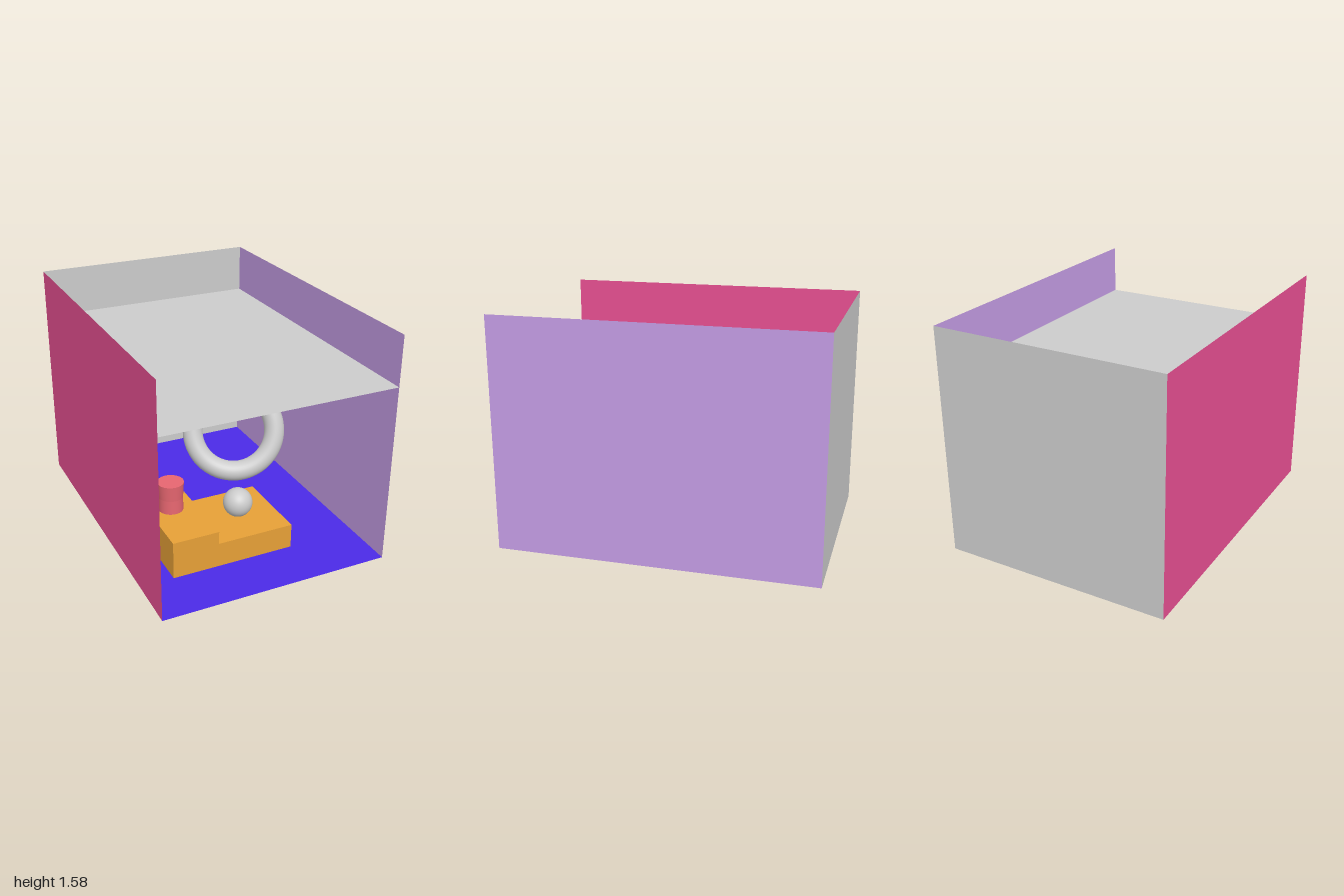
import * as THREE from 'three';

const W = 1.47, FLOOR = 0.118, TOP = 1.583, CEILING = 1.267, DEPTH = 2;

function material(color, side = THREE.FrontSide) {
  return new THREE.MeshStandardMaterial({ color, side });
}

export function createModel() {
  const group = new THREE.Group();

  function add(name, geometry, mat, x, y, z) {
    const mesh = new THREE.Mesh(geometry, mat);
    mesh.name = name;
    mesh.position.set(x, y, z);
    group.add(mesh);
    return mesh;
  }

  // Paper-thin sheets of the open-fronted room
  function sheet(name, w, h, color, x, y, z, rx = 0, ry = 0) {
    const mesh = add(name, new THREE.PlaneGeometry(w, h), material(color, THREE.DoubleSide), x, y, z);
    mesh.rotation.set(rx, ry, 0);
  }
  const H = TOP - FLOOR, midY = (TOP + FLOOR) / 2;
  sheet('floor', W, DEPTH, 0x4b2ae6, 0, FLOOR, 0, -Math.PI / 2);
  sheet('ceiling', W, DEPTH, 0xcccccc, 0, CEILING, 0, -Math.PI / 2);
  sheet('backWall', W, H, 0xcccccc, 0, midY, -DEPTH / 2);
  sheet('leftWall', DEPTH, H, 0xc69ee6, W / 2, midY, 0, 0, Math.PI / 2);
  sheet('rightWall', DEPTH, H, 0xe95093, -W / 2, midY, 0, 0, Math.PI / 2);

  // Flat lamp against the ceiling
  add('ceilingLamp', new THREE.BoxGeometry(0.67, 0.047, 0.275), material(0xcccccc),
    -0.245, 1.2425, -0.472);

  // Stepped plinth, pushed through the floor
  const step = new THREE.Shape([
    [-0.52, 0], [0.28, 0], [0.28, 0.278], [-0.22, 0.278], [-0.22, 0.362], [-0.52, 0.362],
  ].map(([x, y]) => new THREE.Vector2(x, y)));
  add('steppedPlinth', new THREE.ExtrudeGeometry(step, { depth: 0.525, bevelEnabled: false }),
    material(0xe6a037), 0, 0, 0.133);

  // Waisted pot: flared upper half on a straight lower half
  const red = material(0xe66670, THREE.DoubleSide);
  add('potUpper', new THREE.CylinderGeometry(0.083, 0.077, 0.1, 48), red, -0.376, 0.503, 0.286);
  add('potLower', new THREE.CylinderGeometry(0.076, 0.078, 0.093, 48), red, -0.376, 0.4075, 0.286);

  // Ball resting on the lower step
  add('ball', new THREE.SphereGeometry(0.093, 48, 32), material(0xcccccc), 0.028, 0.373, 0.41);

  // Tilted ring behind the plinth
  const ring = add('ring', new THREE.TorusGeometry(0.287, 0.07, 32, 96), material(0xcccccc),
    0.35, 0.488, -0.3);
  ring.quaternion.setFromUnitVectors(new THREE.Vector3(0, 0, 1),
    new THREE.Vector3(-0.36, 0.36, 0.86).normalize());

  return group;
}
